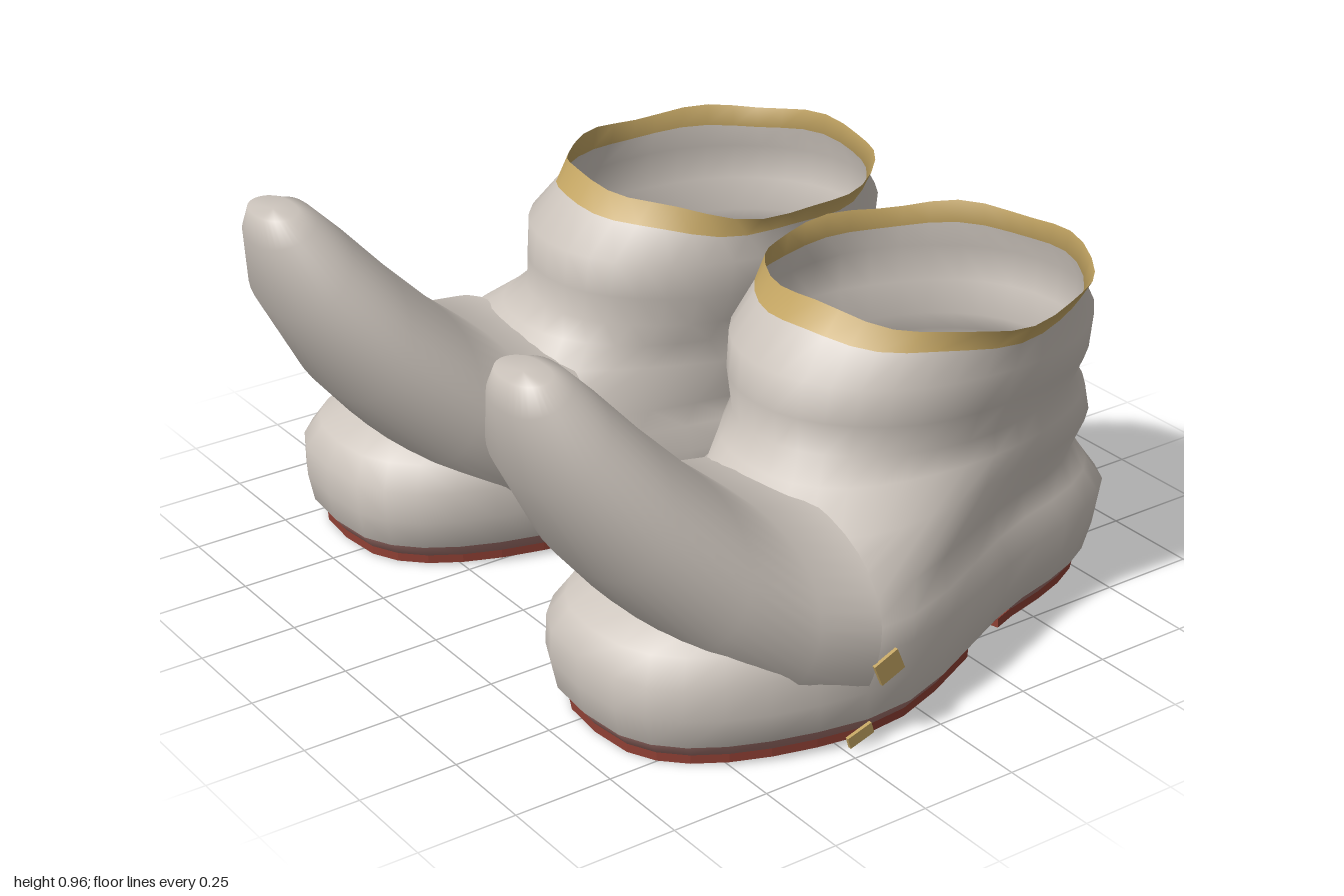
import * as THREE from 'three';

const mat = (name, color) => {
  const m = new THREE.MeshStandardMaterial({ color, side: THREE.DoubleSide });
  m.name = name;
  return m;
};

const SEG = 36;
const lerp = THREE.MathUtils.lerp;

// Distance in z from the slanted line between heel and front sole
const fromArch = (x, z) => z + 0.225 + 0.33 * (x - 0.5);

// Joins closed rings of points; rings sharing a vertex keep smooth normals.
// bands: [firstRow, lastRow, materialIndex]
function loft(rings, bands, capEnd) {
  const pos = rings.flat(2), idx = [];
  const geo = new THREE.BufferGeometry();
  bands.forEach(([from, to, m]) => {
    const start = idx.length;
    for (let i = from; i < to; i++) {
      for (let j = 0; j < SEG; j++) {
        const k = (j + 1) % SEG;
        const a = i * SEG + j, b = i * SEG + k, c = b + SEG, d = a + SEG;
        idx.push(a, b, c, a, c, d);
      }
    }
    geo.addGroup(start, idx.length - start, m);
  });
  if (capEnd) {
    const first = (rings.length - 1) * SEG, ring = rings[rings.length - 1];
    pos.push(...[0, 1, 2].map(n => ring.reduce((s, p) => s + p[n], 0) / SEG));
    const start = idx.length;
    for (let j = 0; j < SEG; j++) idx.push(first + j, first + (j + 1) % SEG, first + SEG);
    geo.addGroup(start, SEG * 3, 0);
  }
  geo.setAttribute('position', new THREE.Float32BufferAttribute(pos, 3));
  geo.setIndex(idx);
  geo.computeVertexNormals();
  return geo;
}

// Horizontal outline: heel and ball have their own widths and centres
function footRing([y, zB, zF, hwB, hwF, cxF, p], i) {
  const cxB = 0.42, ring = [];
  for (let j = 0; j < SEG; j++) {
    const t = j / SEG * Math.PI * 2, s = Math.sin(t), c = Math.cos(t);
    const z = (zF + zB) / 2 + (zF - zB) / 2 * c;
    const u = THREE.MathUtils.smoothstep(z, -0.5, 0.2);
    const wrinkle = i > 1 ? 1 + 0.014 * Math.sin(5 * t + i * 1.7) : 1;
    const x = lerp(cxB, cxF, u) + lerp(hwB, hwF, u) * Math.sign(s) * Math.abs(s) ** p * wrinkle;
    // wavy rim with a front peak, and a raised lower edge at the arch
    const rim = THREE.MathUtils.smoothstep(y, 0.72, 0.83);
    const wave = 0.045 * ((1 + c) / 2) ** 5 + 0.02 * ((1 - c) / 2) ** 3 + 0.007 * Math.sin(7 * t);
    const lift = i === 0 ? 0.035 * Math.exp(-((fromArch(x, z) / 0.08) ** 2)) : 0;
    ring.push([x, y + lift + rim * wave, z]);
  }
  return ring;
}

// y, back z, front z, heel half width, ball half width, ball centre x, roundness
const BODY = [
  [0.025, -0.83, 0.67, 0.33, 0.385, 0.57, 0.7],
  [0.065, -0.85, 0.70, 0.36, 0.415, 0.57, 0.68],
  [0.14, -0.87, 0.715, 0.38, 0.42, 0.57, 0.67],
  [0.22, -0.885, 0.715, 0.385, 0.415, 0.57, 0.67],
  [0.28, -0.85, 0.68, 0.36, 0.40, 0.57, 0.78],
  [0.335, -0.82, 0.58, 0.335, 0.375, 0.56, 0.88],
  [0.44, -0.84, 0.27, 0.35, 0.36, 0.54, 0.8],
  [0.51, -0.82, 0.18, 0.35, 0.35, 0.48, 0.85],
  [0.56, -0.79, 0.13, 0.34, 0.34, 0.45, 0.9],
  [0.64, -0.82, 0.13, 0.37, 0.37, 0.44, 0.95],
  [0.73, -0.83, 0.12, 0.38, 0.375, 0.44, 0.95],
  [0.79, -0.79, 0.04, 0.368, 0.368, 0.43, 1],
  [0.835, -0.80, 0.0, 0.39, 0.385, 0.43, 1],
];

// Curled toe: top z, top y, underside z, underside y, half width, centre x, underside roundness
const TOE = [
  [0.14, 0.49, 0.21, 0.03, 0.415, 0.573, 0.35],
  [0.28, 0.505, 0.39, 0.11, 0.405, 0.563, 0.5],
  [0.43, 0.63, 0.55, 0.25, 0.36, 0.553, 0.7],
  [0.58, 0.78, 0.72, 0.45, 0.29, 0.55, 0.85],
  [0.68, 0.89, 0.86, 0.70, 0.205, 0.55, 0.85],
  [0.74, 0.95, 0.89, 0.88, 0.125, 0.555, 0.85],
  [0.78, 0.963, 0.88, 0.952, 0.085, 0.555, 0.85],
];

// Rounded top, flatter underside near the foot
function toeRing([tz, ty, bz, by, hw, cx, low]) {
  return Array.from({ length: SEG }, (_, j) => {
    const t = j / SEG * Math.PI * 2, s = Math.sin(t), c = Math.cos(t);
    const x = cx + hw * Math.sign(s) * Math.abs(s) ** (c > 0 ? low : 0.8);
    return [x, lerp(ty, by, (1 + c) / 2), lerp(tz, bz, (1 + c) / 2)];
  });
}

// Keeps the part of a closed polygon where dist >= 0
function clip(pts, dist) {
  return pts.flatMap((a, i) => {
    const b = pts[(i + 1) % pts.length], da = dist(a), db = dist(b);
    const kept = da >= 0 ? [a] : [];
    if (da * db < 0) kept.push(a.clone().lerp(b, da / (da - db)));
    return kept;
  });
}

// Flat plate from points (x, -z)
function plate(pts, y, depth) {
  const geo = new THREE.ExtrudeGeometry(new THREE.Shape(pts), { depth, bevelEnabled: false });
  geo.rotateX(-Math.PI / 2);
  geo.translate(0, y, 0);
  return geo;
}

// Slice of the sole between two offsets from the arch line
function soleSlice(lo, hi, y, depth) {
  let pts = footRing(BODY[0], 0).map(([x, , z]) => new THREE.Vector2(x, -z));
  pts = clip(pts, p => fromArch(p.x, -p.y) - lo);
  pts = clip(pts, p => hi - fromArch(p.x, -p.y));
  return plate(pts, y, depth);
}

export function createModel() {
  const leather = mat('paleLeather', 0xcdc5bd);
  const red = mat('redSole', 0x8f4034);
  const rose = mat('roseWelt', 0xa0716b);
  const gold = mat('goldTrim', 0xc2a462);

  function makeBoot(name) {
    const boot = new THREE.Group();
    boot.name = name;
    const add = (partName, geo, material) => {
      const mesh = new THREE.Mesh(geo, material);
      mesh.name = partName;
      boot.add(mesh);
      return mesh;
    };

    // Foot and shaft: rose welt, leather, gold rim
    const last = BODY.length - 1;
    add('footAndShaft', loft(BODY.map(footRing), [[0, 1, 0], [1, last - 1, 1], [last - 1, last, 2]]),
      [rose, leather, gold]);
    add('curledToe', loft(TOE.map(toeRing), [[0, TOE.length - 1, 0]], true), [leather]);

    // Split sole; the raised arch between is pale with rose edges
    add('frontSole', soleSlice(0.085, 2, 0.003, 0.025), red);
    add('heelSole', soleSlice(-2, -0.085, 0.003, 0.025), red);
    add('archFrontEdge', soleSlice(0.03, 0.085, 0.03, 0.012), rose);
    add('archBackEdge', soleSlice(-0.085, -0.03, 0.03, 0.012), rose);
    add('arch', soleSlice(-0.03, 0.03, 0.045, 0.012), leather);

    // Thin slivers of trim under the front sole
    const tri = (...c) => c.map(([x, z]) => new THREE.Vector2(x, -z));
    add('goldSliver', plate(tri([0.2, 0.19], [0.19, 0.24], [0.8, 0.3]), 0, 0.004), gold);
    add('paleSliver', plate(tri([0.3, 0.25], [0.68, 0.36], [0.8, 0.3]), 0, 0.004), leather);

    // Gold tabs on both sides of the foot
    for (const [x, y, z, turn] of [[0.988, 0.2, 0.15, 0.4], [0.978, 0.04, 0.22, 0.3],
      [0.155, 0.2, 0.15, 0.4], [0.166, 0.04, 0.22, 0.3]]) {
      const tab = add('sideTab', new THREE.BoxGeometry(0.009, y > 0.1 ? 0.06 : 0.03, 0.07), gold);
      tab.position.set(x, y, z);
      tab.rotation.x = turn;
    }
    return boot;
  }

  const model = new THREE.Group();
  model.name = 'bootPair';
  const left = makeBoot('leftBoot');
  const right = makeBoot('rightBoot');
  right.scale.x = -1;
  model.add(left, right);
  return model;
}
